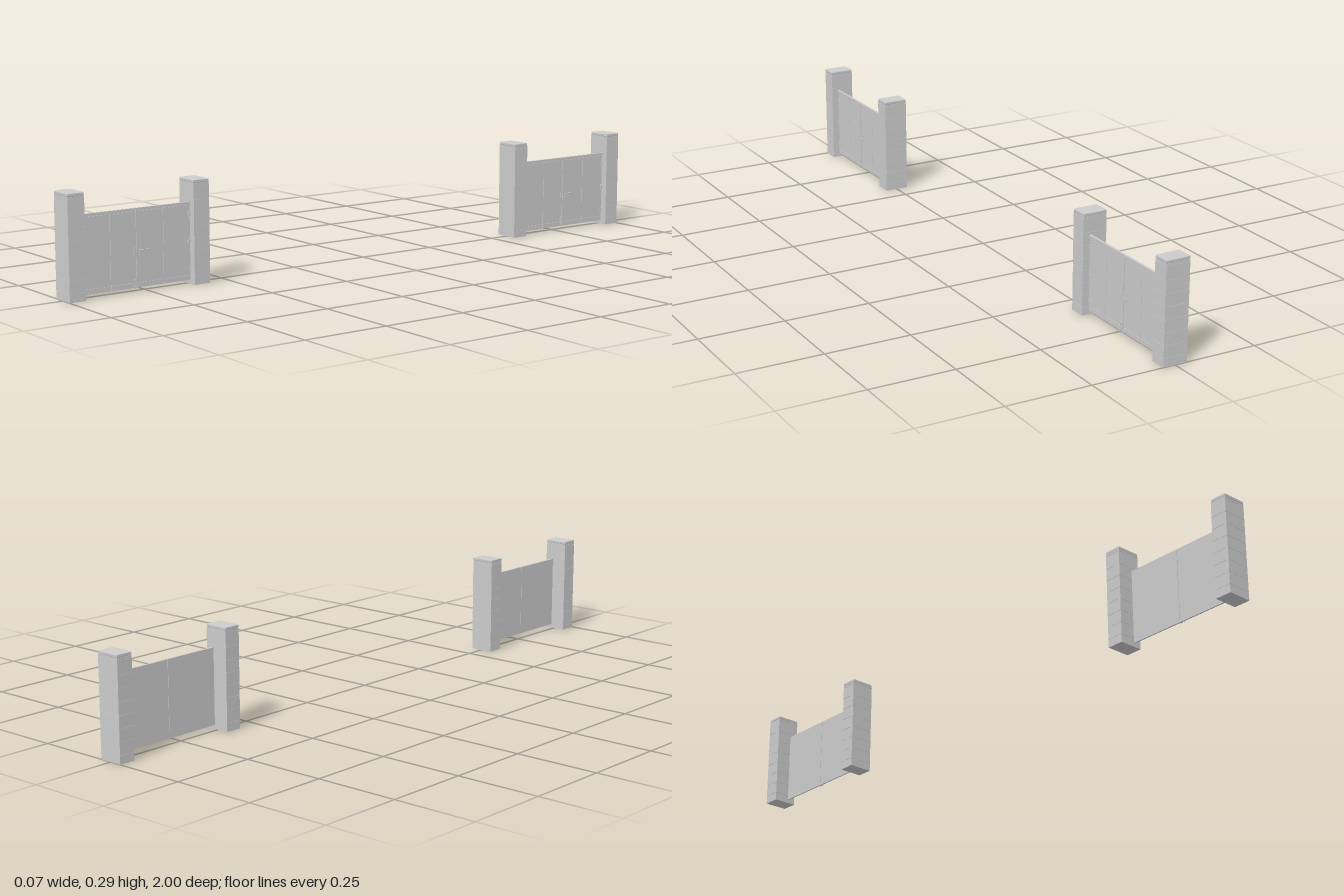
import * as THREE from 'three';
import { RoundedBoxGeometry } from 'three/addons/geometries/RoundedBoxGeometry.js';

const material = new THREE.MeshStandardMaterial({ color: 0xcccccc });

function add(group, name, geometry, x, y, z) {
  const mesh = new THREE.Mesh(geometry, material);
  mesh.name = name;
  mesh.position.set(x, y, z);
  group.add(mesh);
  return mesh;
}

// box given by its lower and upper limits
function slab(group, name, [x0, x1], [y0, y1], [z0, z1]) {
  return add(group, name, new THREE.BoxGeometry(x1 - x0, y1 - y0, z1 - z0),
    (x0 + x1) / 2, (y0 + y1) / 2, (z0 + z1) / 2);
}

// block pillar with thin recessed joints and a flat cap
function createPillar() {
  const pillar = new THREE.Group();
  pillar.name = 'pillar';
  const w = 0.0725, d = 0.05, joint = 0.0012, inset = 0.0016;
  slab(pillar, 'pillarCore', [-(w - inset) / 2, (w - inset) / 2], [0.001, 0.284], [-(d - inset) / 2, (d - inset) / 2]);
  const seams = [0, 0.0245, 0.06, 0.0955, 0.131, 0.1665, 0.202, 0.2375, 0.277];
  for (let i = 0; i < seams.length - 1; i++) {
    const y0 = seams[i] + (i ? joint / 2 : 0);
    slab(pillar, 'block', [-w / 2, w / 2], [y0, seams[i + 1] - joint / 2], [-d / 2, d / 2]);
  }
  slab(pillar, 'capBase', [-w / 2, w / 2], [0.278, 0.2825], [-d / 2, d / 2]);
  add(pillar, 'cap', new RoundedBoxGeometry(w, 0.009, d, 2, 0.002), 0, 0.288, 0);
  return pillar;
}

// one gate leaf reaching from the centre (z = 0) to the pillar at side * 0.17
function createLeaf(side) {
  const leaf = new THREE.Group();
  leaf.name = side > 0 ? 'leftLeaf' : 'rightLeaf';
  const span = (a, b) => side > 0 ? [a, b] : [-b, -a];
  slab(leaf, 'backSheet', [0.011, 0.0145], [0.011, 0.228], span(0.0006, 0.17));
  // front boards with narrow gaps
  for (const [a, b] of [[0.001, 0.0825], [0.0837, 0.163]]) {
    slab(leaf, 'board', [0.014, 0.0165], [0.026, 0.221], span(a, b));
    slab(leaf, 'bottomBoard', [0.014, 0.0165], [0.012, 0.025], span(a, b));
  }
  slab(leaf, 'topRail', [0.011, 0.018], [0.222, 0.230], span(0.001, 0.17));
  // hinges at the pillar
  for (const y of [0.045, 0.12, 0.195]) {
    add(leaf, 'hingePin', new THREE.CylinderGeometry(0.002, 0.002, 0.014, 10), 0.0175, y, side * 0.165);
    slab(leaf, 'hingeStrap', [0.016, 0.018], [y - 0.002, y + 0.002], span(0.153, 0.17));
  }
  return leaf;
}

// central cover strip, handle, lock plate and drop bolt
function createFittings() {
  const fittings = new THREE.Group();
  fittings.name = 'fittings';
  slab(fittings, 'coverStrip', [0.0145, 0.0185], [0.011, 0.230], [-0.003, 0.003]);
  slab(fittings, 'lockPlate', [0.016, 0.0185], [0.1, 0.125], [-0.013, -0.007]);
  const spindle = add(fittings, 'handleSpindle', new THREE.CylinderGeometry(0.0014, 0.0014, 0.007, 10), 0.0205, 0.115, -0.01);
  spindle.rotation.z = Math.PI / 2;
  const lever = add(fittings, 'handleLever', new THREE.CylinderGeometry(0.0014, 0.0014, 0.021, 10), 0.0235, 0.115, -0.0195);
  lever.rotation.x = Math.PI / 2;
  slab(fittings, 'strikePlate', [0.016, 0.0185], [0.104, 0.122], [0.006, 0.011]);
  add(fittings, 'dropBolt', new THREE.CylinderGeometry(0.0014, 0.0014, 0.035, 10), 0.019, 0.0255, 0.009);
  for (const y of [0.018, 0.034]) {
    slab(fittings, 'boltGuide', [0.016, 0.0205], [y - 0.002, y + 0.002], [0.006, 0.012]);
  }
  return fittings;
}

function createGate() {
  const gate = new THREE.Group();
  gate.name = 'gate';
  for (const side of [-1, 1]) {
    const pillar = createPillar();
    pillar.position.z = side * 0.195;
    gate.add(pillar, createLeaf(side));
  }
  gate.add(createFittings());
  return gate;
}

export function createModel() {
  const model = new THREE.Group();
  model.name = 'gatePair';
  for (const z of [-0.78, 0.78]) {
    const gate = createGate();
    gate.position.z = z;
    model.add(gate);
  }
  return model;
}
